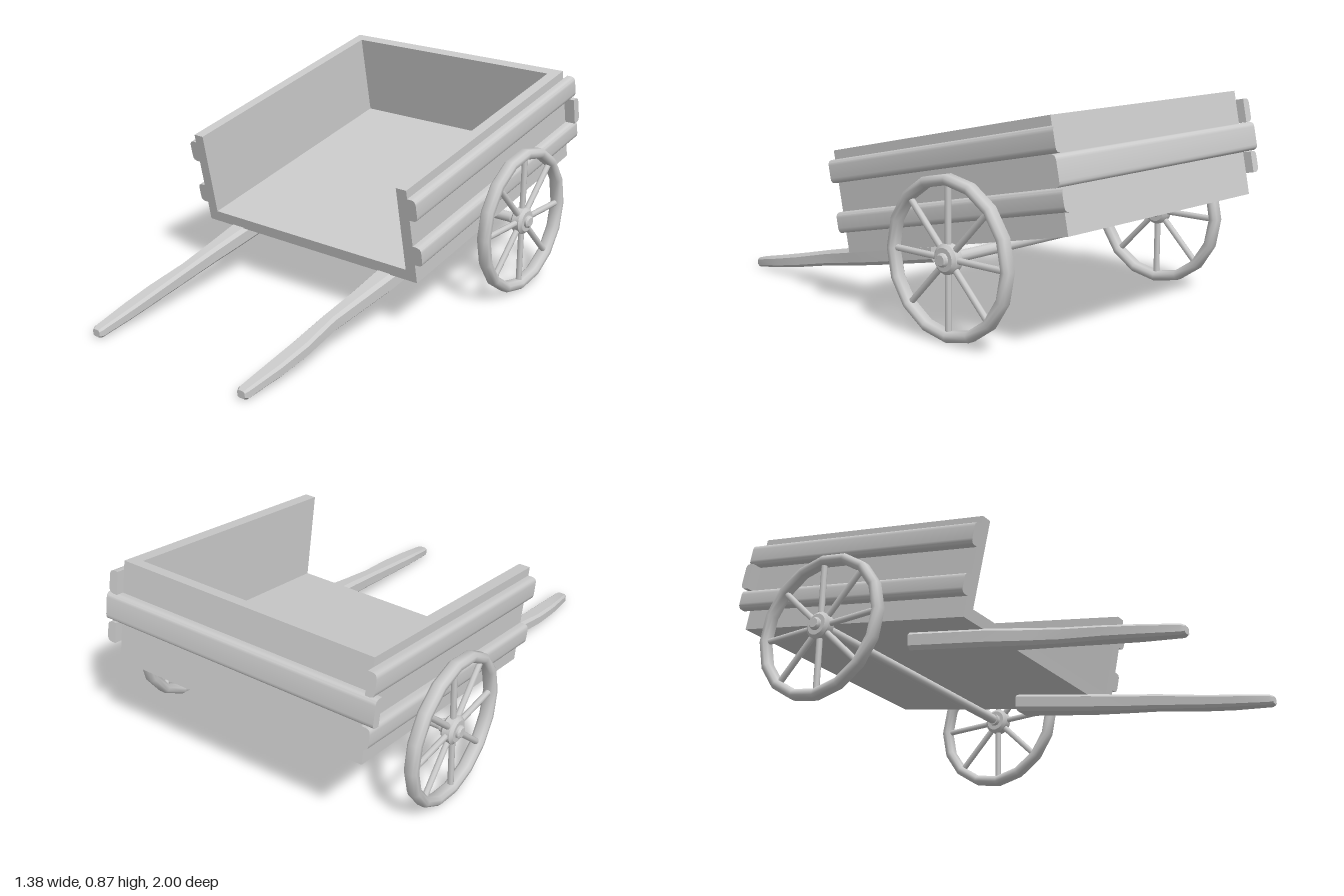
import * as THREE from 'three';
import { toCreasedNormals } from 'three/addons/utils/BufferGeometryUtils.js';

const material = new THREE.MeshStandardMaterial({ color: 0xcccccc });

function add(parent, name, geometry, x = 0, y = 0, z = 0) {
  const mesh = new THREE.Mesh(geometry, material);
  mesh.name = name;
  mesh.position.set(x, y, z);
  parent.add(mesh);
  return mesh;
}

// Board with a flat inner face at x = 0 and rounded outer edges, running along z
function plankGeometry(height, length, thick = 0.038, r = 0.022) {
  const s = new THREE.Shape();
  s.moveTo(0, 0);
  s.lineTo(thick - r, 0);
  s.quadraticCurveTo(thick, 0, thick, r);
  s.lineTo(thick, height - r);
  s.quadraticCurveTo(thick, height, thick - r, height);
  s.lineTo(0, height);
  s.closePath();
  const g = new THREE.ExtrudeGeometry(s, { depth: length, bevelEnabled: false, curveSegments: 4 });
  return toCreasedNormals(g.translate(0, 0, -length / 2), 0.7);
}

// Tray open at the front: U-shaped floor and sides, a back wall, and nailed-on planks
function createTray() {
  const tray = new THREE.Group();
  tray.name = 'tray';
  const W = 0.567, H = 0.42, T = 0.049, L = 1.175;
  const pts = [[-W, 0], [W, 0], [W, H], [W - T, H], [W - T, T], [T - W, T], [T - W, H], [-W, H]];
  const u = new THREE.Shape(pts.map(([x, y]) => new THREE.Vector2(x, y)));
  const shell = new THREE.ExtrudeGeometry(u, { depth: L - T, bevelEnabled: false });
  add(tray, 'floorAndSides', shell, 0, 0, T - L);
  add(tray, 'backWall', new THREE.BoxGeometry(2 * W, H, T), 0, H / 2, T / 2 - L);

  const rail = 1.21;
  for (const side of [1, -1]) {
    for (const [name, y, h] of [['lowerSidePlank', 0.085, 0.085], ['upperSidePlank', 0.288, 0.095]]) {
      const plank = add(tray, name, plankGeometry(h, rail), side * W, y, -rail / 2);
      if (side < 0) {
        plank.rotation.z = Math.PI;
        plank.position.y = y + h;
      }
    }
  }
  const back = add(tray, 'backPlank', plankGeometry(0.115, 1.23), 0, 0.172, -L);
  back.rotation.y = Math.PI / 2;

  tray.position.set(0, 0.225, 0.166);
  tray.rotation.x = 0.206;
  return tray;
}

// Spoked wheel turning about the x axis
function createWheel() {
  const wheel = new THREE.Group();
  wheel.name = 'wheel';
  const ri = 0.274, ro = 0.315, w = 0.028, b = 0.012;
  const profile = [
    [ro - b, -w], [ro, b - w], [ro, w - b], [ro - b, w],
    [ri + b, w], [ri, w - b], [ri, b - w], [ri + b, -w], [ro - b, -w],
  ].map(([r, y]) => new THREE.Vector2(r, y));
  const rim = new THREE.LatheGeometry(profile, 16).rotateZ(Math.PI / 2);
  add(wheel, 'rim', toCreasedNormals(rim, 0.9));

  const hubProfile = [[0, -0.027], [0.045, -0.027], [0.058, -0.016], [0.058, 0.016], [0.045, 0.027], [0, 0.027]]
    .map(([r, y]) => new THREE.Vector2(r, y));
  const hub = new THREE.LatheGeometry(hubProfile, 16).rotateZ(Math.PI / 2);
  add(wheel, 'hub', toCreasedNormals(hub, 0.7));

  for (let i = 0; i < 8; i++) {
    const spoke = new THREE.CylinderGeometry(0.013, 0.013, 0.25, 8);
    spoke.translate(0, 0.165, 0).rotateX(i * Math.PI / 4);
    add(wheel, 'spoke', spoke);
  }
  return wheel;
}

// Pull shaft: chamfered rectangles lofted from under the tray to the handle tip
function shaftGeometry() {
  // z, bottom y, top y, inner x, outer x
  const sections = [
    [-0.19, 0.222, 0.302, 0.345, 0.45],
    [0.17, 0.15, 0.228, 0.357, 0.447],
    [0.34, 0.118, 0.19, 0.363, 0.435],
    [0.5, 0.09, 0.155, 0.363, 0.425],
    [0.68, 0.055, 0.113, 0.366, 0.437],
    [0.82, 0.03, 0.082, 0.366, 0.434],
    [0.985, 0.004, 0.047, 0.369, 0.42],
    [1.0, 0.009, 0.039, 0.376, 0.413],
  ];
  const pos = [], index = [];
  for (const [z, y0, y1, x0, x1] of sections) {
    const c = 0.2 * Math.min(y1 - y0, x1 - x0);
    pos.push(
      x0 + c, y0, z, x1 - c, y0, z, x1, y0 + c, z, x1, y1 - c, z,
      x1 - c, y1, z, x0 + c, y1, z, x0, y1 - c, z, x0, y0 + c, z,
    );
  }
  const last = (sections.length - 1) * 8;
  for (let s = 0; s < last; s += 8) {
    for (let i = 0; i < 8; i++) {
      const a = s + i, b = s + (i + 1) % 8;
      index.push(a, b, b + 8, a, b + 8, a + 8);
    }
  }
  for (let i = 1; i < 7; i++) {
    index.push(0, i + 1, i, last, last + i, last + i + 1);
  }
  const g = new THREE.BufferGeometry();
  g.setAttribute('position', new THREE.Float32BufferAttribute(pos, 3));
  g.setIndex(index);
  return toCreasedNormals(g, 0.5);
}

export function createModel() {
  const cart = new THREE.Group();
  cart.name = 'handcart';
  cart.add(createTray());

  // Axle with thicker ends, and the two wheels
  const axleY = 0.32, axleZ = -0.482;
  const axle = new THREE.CylinderGeometry(0.022, 0.022, 1.3, 12).rotateZ(Math.PI / 2);
  add(cart, 'axle', axle, 0, axleY, axleZ);
  for (const side of [1, -1]) {
    const wheel = createWheel();
    wheel.position.set(side * 0.645, axleY, axleZ);
    cart.add(wheel);
    const cap = [[0, -0.045], [0.027, -0.045], [0.027, 0.038], [0.02, 0.045], [0, 0.045]]
      .map(([r, y]) => new THREE.Vector2(r, y));
    const capGeometry = new THREE.LatheGeometry(cap, 12).rotateZ(-side * Math.PI / 2);
    add(cart, 'axleCap', toCreasedNormals(capGeometry, 0.6), side * 0.643, axleY, axleZ);
  }

  // Pair of pull shafts
  for (const side of [1, -1]) {
    const shaft = add(cart, 'pullShaft', shaftGeometry());
    shaft.scale.x = side;
  }
  return cart;
}
